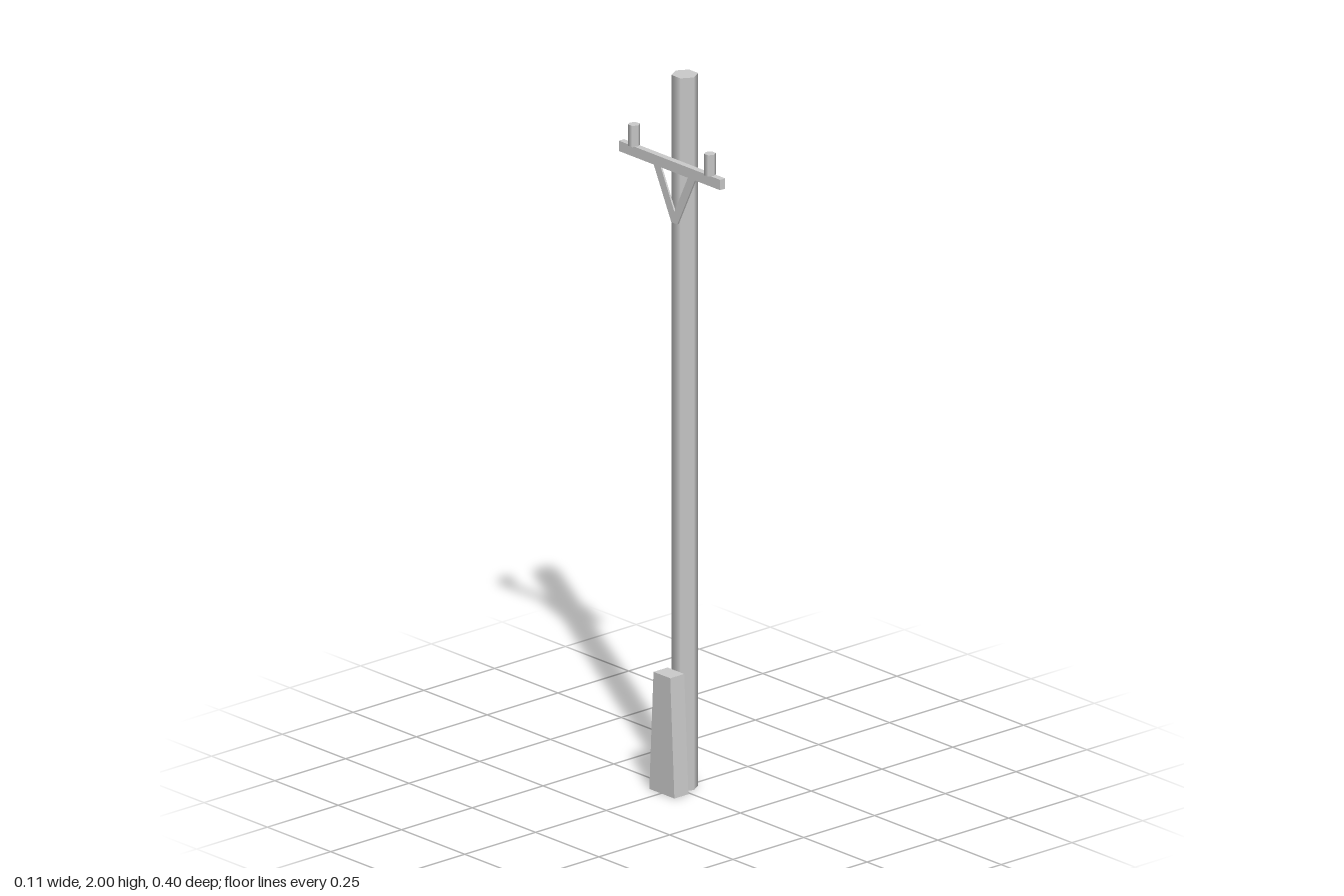
import * as THREE from 'three';

export function createModel() {
  const group = new THREE.Group();
  const material = new THREE.MeshStandardMaterial({ color: 0xcccccc });
  const centreZ = 0.003;

  function add(name, geometry, x, y, z) {
    const mesh = new THREE.Mesh(geometry, material);
    mesh.name = name;
    mesh.position.set(x, y, z);
    group.add(mesh);
    return mesh;
  }

  // Flat outline in (z, y), extruded along x from x0 to x1
  function plate(name, points, x0, x1) {
    const shape = new THREE.Shape(points.map(([z, y]) => new THREE.Vector2(-z, y)));
    const geometry = new THREE.ExtrudeGeometry(shape, { depth: x1 - x0, bevelEnabled: false });
    geometry.rotateY(Math.PI / 2);
    return add(name, geometry, x0, 0, centreZ);
  }

  // Six-sided pole, smooth shaded
  add('pole', new THREE.CylinderGeometry(0.036, 0.036, 2, 6), 0.0245, 1, centreZ);

  // Crossarm
  add('crossarm', new THREE.BoxGeometry(0.018, 0.029, 0.4), -0.018, 1.755, 0);

  for (const s of [1, -1]) {
    const side = s > 0 ? 'front' : 'back';
    // Insulator
    add(side + 'Insulator', new THREE.CylinderGeometry(0.016, 0.016, 0.06, 6), -0.018, 1.798, s * 0.15);
    // Diagonal brace, meeting its twin on the pole
    plate(side + 'Brace', [[0.086, 1.742], [0.058, 1.742], [0, 1.622], [0, 1.59], [0.012, 1.59]]
      .map(([z, y]) => [s * z, y]), -0.0125, -0.0075);
  }

  // Tapered footing block beside the pole
  plate('footing', [[-0.0495, 0], [0.0495, 0], [0.033, 0.333], [-0.033, 0.333]], -0.0565, -0.007);

  return group;
}
